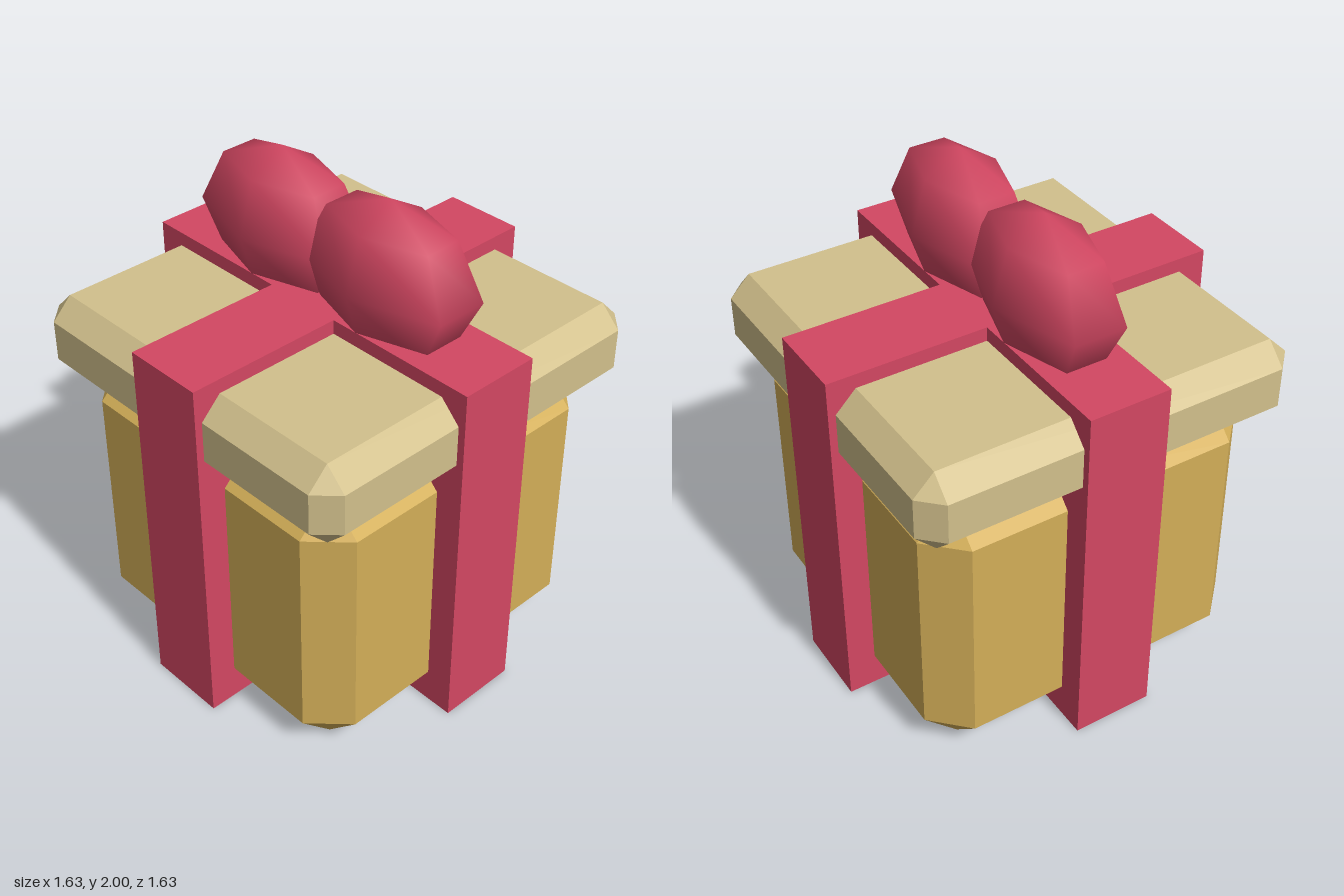
import * as THREE from 'three';
import { ConvexGeometry } from 'three/addons/geometries/ConvexGeometry.js';

const mat = (name, color) => {
  const m = new THREE.MeshStandardMaterial({ color });
  m.name = name;
  return m;
};

// Box with every edge and corner cut off by c; half sizes hx, hy, hz
function chamferBox(hx, hy, hz, c) {
  const points = [];
  for (const sx of [-1, 1]) for (const sy of [-1, 1]) for (const sz of [-1, 1]) {
    points.push(
      new THREE.Vector3(sx * hx, sy * (hy - c), sz * (hz - c)),
      new THREE.Vector3(sx * (hx - c), sy * hy, sz * (hz - c)),
      new THREE.Vector3(sx * (hx - c), sy * (hy - c), sz * hz),
    );
  }
  return new ConvexGeometry(points);
}

export function createModel() {
  const group = new THREE.Group();
  group.name = 'giftBox';
  const gold = mat('gold', 0xd3ae58);
  const cream = mat('cream', 0xd2c08c);
  const red = mat('red', 0xd34762);

  const add = (name, geometry, material, x = 0, y = 0, z = 0) => {
    const mesh = new THREE.Mesh(geometry, material);
    mesh.name = name;
    mesh.position.set(x, y, z);
    group.add(mesh);
    return mesh;
  };

  // Box and lid; the box floor sits a hair above the ribbon's underside
  add('box', chamferBox(0.703, 0.592, 0.703, 0.14), gold, 0, 0.596, 0);
  add('lid', chamferBox(0.787, 0.167, 0.787, 0.084), cream, 0, 1.3, 0);

  // Ribbon: a plus-shaped column wrapping all four sides
  const w = 0.167, r = 0.817, height = 1.525;
  const cross = new THREE.Shape([
    [w, w], [w, r], [-w, r], [-w, w], [-r, w], [-r, -w],
    [-w, -w], [-w, -r], [w, -r], [w, -w], [r, -w], [r, w],
  ].map(([x, y]) => new THREE.Vector2(x, y)));
  const ribbon = new THREE.ExtrudeGeometry(cross, { depth: height, bevelEnabled: false });
  ribbon.rotateX(-Math.PI / 2);
  add('ribbon', ribbon, red);

  // Bow: two squashed six-sided loops meeting in the middle
  const loop = new THREE.SphereGeometry(1, 6, 4);
  loop.rotateY(Math.PI / 6);
  loop.scale(0.404, 0.31, 0.215);
  for (const s of [-1, 1]) add(s > 0 ? 'leftBowLoop' : 'rightBowLoop', loop, red, s * 0.28, 1.69, 0);

  return group;
}
